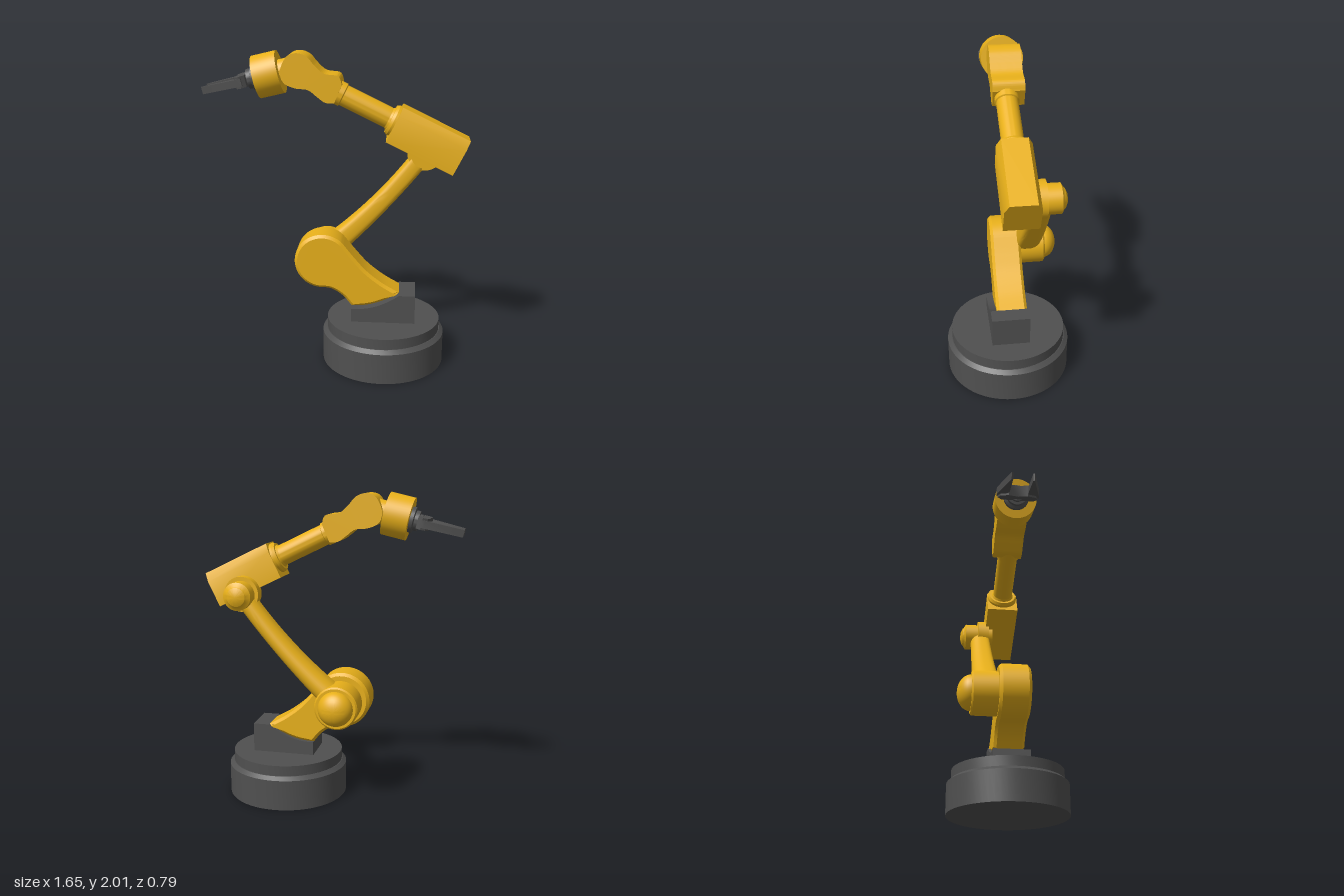
import * as THREE from 'three';
import { toCreasedNormals } from 'three/addons/utils/BufferGeometryUtils.js';

const yellow = new THREE.MeshStandardMaterial({ color: 0xe8b01a });
const grey = new THREE.MeshStandardMaterial({ color: 0x505050 });
const V = (x, y) => new THREE.Vector2(x, y);

function part(parent, name, geometry, material) {
  const mesh = new THREE.Mesh(toCreasedNormals(geometry, 0.5), material);
  mesh.name = name;
  parent.add(mesh);
  return mesh;
}

function joint(parent, name, x, y, z, angle) {
  const g = new THREE.Group();
  g.name = name;
  g.position.set(x, y, z);
  g.rotation.z = angle;
  parent.add(g);
  return g;
}

// Turned solid from [radius, height] pairs, listed bottom to top
const turned = (pts, sides = 48) => new THREE.LatheGeometry(pts.map(p => V(...p)), sides);

// Plate between z0 and z1 with an optional bevel kept inside the outline
function plate(shape, z0, z1, bevel = 0) {
  const g = new THREE.ExtrudeGeometry(shape, {
    depth: z1 - z0 - 2 * bevel, curveSegments: 20, bevelEnabled: bevel > 0,
    bevelThickness: bevel, bevelSize: bevel, bevelOffset: -bevel, bevelSegments: 1,
  });
  return g.translate(0, 0, z0 + bevel);
}

// Curved link: flat towards the front, round at the back, tapering upwards
function upperArmGeometry() {
  const path = new THREE.QuadraticBezierCurve(V(-0.39, 0.68), V(-0.03, 0.985), V(0.245, 1.36));
  const rows = 16, cols = 32, pos = [], index = [];
  for (let i = 0; i <= rows; i++) {
    const t = i / rows, c = path.getPoint(t), d = path.getTangent(t);
    const half = 0.08 - 0.055 * t + 0.035 * t * t, depth = 0.088 - 0.023 * t;
    for (let j = 0; j <= cols; j++) {
      const a = (j / cols) * Math.PI * 2, cs = Math.cos(a), sn = Math.sin(a);
      const k = cs > 0 ? 0.55 : 1;
      const n = Math.sign(sn) * Math.abs(sn) ** k * half;
      const w = Math.sign(cs) * Math.abs(cs) ** k * depth;
      pos.push(c.x - d.y * n, c.y + d.x * n, -0.175 + w);
    }
  }
  for (let i = 0; i < rows; i++) {
    for (let j = 0; j < cols; j++) {
      const a = i * (cols + 1) + j, b = a + cols + 1;
      index.push(a, a + 1, b, a + 1, b + 1, b);
    }
  }
  const g = new THREE.BufferGeometry();
  g.setAttribute('position', new THREE.Float32BufferAttribute(pos, 3));
  g.setIndex(index);
  // make sure the skin faces outward
  g.computeVertexNormals();
  const nrm = g.attributes.normal, mid = 8 * (cols + 1);
  if (nrm.getZ(mid) < 0) g.setIndex(index.reverse());
  g.computeVertexNormals();
  return g;
}

export function createModel() {
  const model = new THREE.Group();
  model.name = 'robotArm';

  // Fixed round base
  part(model, 'base', turned([[0, 0], [0.395, 0], [0.395, 0.2], [0.37, 0.222],
    [0.365, 0.222], [0.365, 0.29], [0, 0.29]], 64), grey).position.x = 0.305;

  // Everything above swivels on the base
  const arm = joint(model, 'swivel', 0.305, 0, 0, 0);
  arm.rotation.y = 0.22;

  // Cradle block with a scooped top
  const cradle = new THREE.Shape();
  cradle.moveTo(-0.205, 0.28);
  cradle.lineTo(0.205, 0.28);
  cradle.lineTo(0.205, 0.48);
  cradle.lineTo(0.1, 0.48);
  cradle.quadraticCurveTo(-0.03, 0.385, -0.16, 0.38);
  cradle.lineTo(-0.205, 0.38);
  part(arm, 'cradle', plate(cradle, -0.12, 0.12), grey);

  // Shoulder plate: round head flowing into a curved foot
  const shoulder = new THREE.Shape();
  const rad = THREE.MathUtils.degToRad;
  shoulder.moveTo(0.1, 0.48);
  shoulder.splineThru([V(-0.005, 0.54), V(-0.108, 0.62), V(-0.19, 0.71),
    V(-0.395 + 0.18 * Math.cos(rad(45)), 0.68 + 0.18 * Math.sin(rad(45)))]);
  shoulder.absarc(-0.395, 0.68, 0.18, rad(46), rad(265), false);
  shoulder.splineThru([V(-0.34, 0.495), V(-0.265, 0.45), V(-0.205, 0.38)]);
  shoulder.quadraticCurveTo(-0.05, 0.375, 0.1, 0.48);
  part(arm, 'shoulder', plate(shoulder, -0.115, 0.08, 0.018), yellow);

  // Shoulder hub with domed cap, pointing to the back
  const hub = [[0, 0], [0.14, 0], [0.14, 0.165], [0.13, 0.175], [0.115, 0.175]];
  for (let i = 0; i <= 10; i++) {
    const a = (i / 10) * Math.PI / 2;
    hub.push([0.113 * Math.cos(a), 0.175 + 0.085 * Math.sin(a)]);
  }
  part(arm, 'shoulderHub', turned(hub).rotateX(-Math.PI / 2), yellow)
    .position.set(-0.39, 0.67, -0.105);

  part(arm, 'upperArm', upperArmGeometry(), yellow);

  // Elbow pivot and its wider flange
  part(arm, 'elbowHub', turned([[0, 0], [0.09, 0], [0.09, 0.19], [0.065, 0.205],
    [0.06, 0.212], [0.035, 0.224], [0, 0.228]]).rotateX(-Math.PI / 2), yellow)
    .position.set(0.245, 1.36, -0.088);
  part(arm, 'elbowFlange', new THREE.CylinderGeometry(0.113, 0.113, 0.075, 48)
    .rotateX(Math.PI / 2), yellow).position.set(0.245, 1.363, -0.155);

  // Forearm: motor box, collar and tube along the local x axis
  const forearm = joint(arm, 'forearm', 0.256, 1.475, -0.033, rad(-26));
  const section = new THREE.Shape([V(-0.105, -0.117), V(0.105, -0.117), V(0.105, 0.06),
    V(0.078, 0.117), V(-0.078, 0.117), V(-0.105, 0.06)]);
  part(forearm, 'forearmBox', plate(section, -0.23, 0.23).rotateY(Math.PI / 2), yellow);
  part(forearm, 'forearmTube', turned([[0, -0.2], [0.1, -0.2], [0.1, 0.245], [0.09, 0.262],
    [0.075, 0.262], [0.067, 0.275], [0.067, 0.585], [0.075, 0.59], [0.075, 0.66], [0, 0.66]])
    .rotateZ(Math.PI / 2), yellow).position.y = 0.008;

  // Wavy wrist link
  const link = new THREE.Shape();
  link.moveTo(-0.272, 1.81);
  link.splineThru([V(-0.295, 1.865), V(-0.38, 1.88), V(-0.435, 1.925), V(-0.485, 1.98),
    V(-0.545, 2.0), V(-0.605, 1.98), V(-0.645, 1.9), V(-0.63, 1.825), V(-0.56, 1.79),
    V(-0.48, 1.78), V(-0.425, 1.74), V(-0.375, 1.705), V(-0.32, 1.7)]);
  link.lineTo(-0.272, 1.81);
  part(arm, 'wristLink', plate(link, -0.142, 0.053), yellow);

  // Wrist drum and tool, pointing along local -x
  const wrist = joint(arm, 'wrist', -0.733, 1.86, -0.045, rad(13.3));
  part(wrist, 'wristDrum', turned([[0, -0.18], [0.075, -0.18], [0.075, -0.078], [0.133, -0.078],
    [0.133, 0.078], [0, 0.078]]).rotateZ(Math.PI / 2), yellow);
  part(wrist, 'toolFlange', turned([[0, 0.07], [0.08, 0.07], [0.08, 0.1], [0.062, 0.105],
    [0.062, 0.13], [0.045, 0.13], [0.045, 0.15], [0, 0.15]]).rotateZ(Math.PI / 2), grey);

  // Gripper palm and mirrored fingers, outlined from above as (x, -z)
  const palm = new THREE.Shape([V(-0.13, -0.1), V(-0.13, 0.1), V(-0.16, 0.125), V(-0.19, 0.11),
    V(-0.205, 0.06), V(-0.19, 0), V(-0.205, -0.06), V(-0.19, -0.11), V(-0.16, -0.125)]);
  part(wrist, 'gripperPalm', plate(palm, -0.036, 0.036).rotateX(-Math.PI / 2), grey);
  for (const s of [-1, 1]) {
    const finger = new THREE.Shape([V(-0.15, s * 0.132), V(-0.18, s * 0.132),
      V(-0.415, s * 0.07), V(-0.41, s * 0.06), V(-0.225, s * 0.058), V(-0.15, s * 0.085)]);
    part(wrist, s > 0 ? 'rightFinger' : 'leftFinger',
      plate(finger, -0.023, 0.023).rotateX(-Math.PI / 2), grey);
  }
  return model;
}
